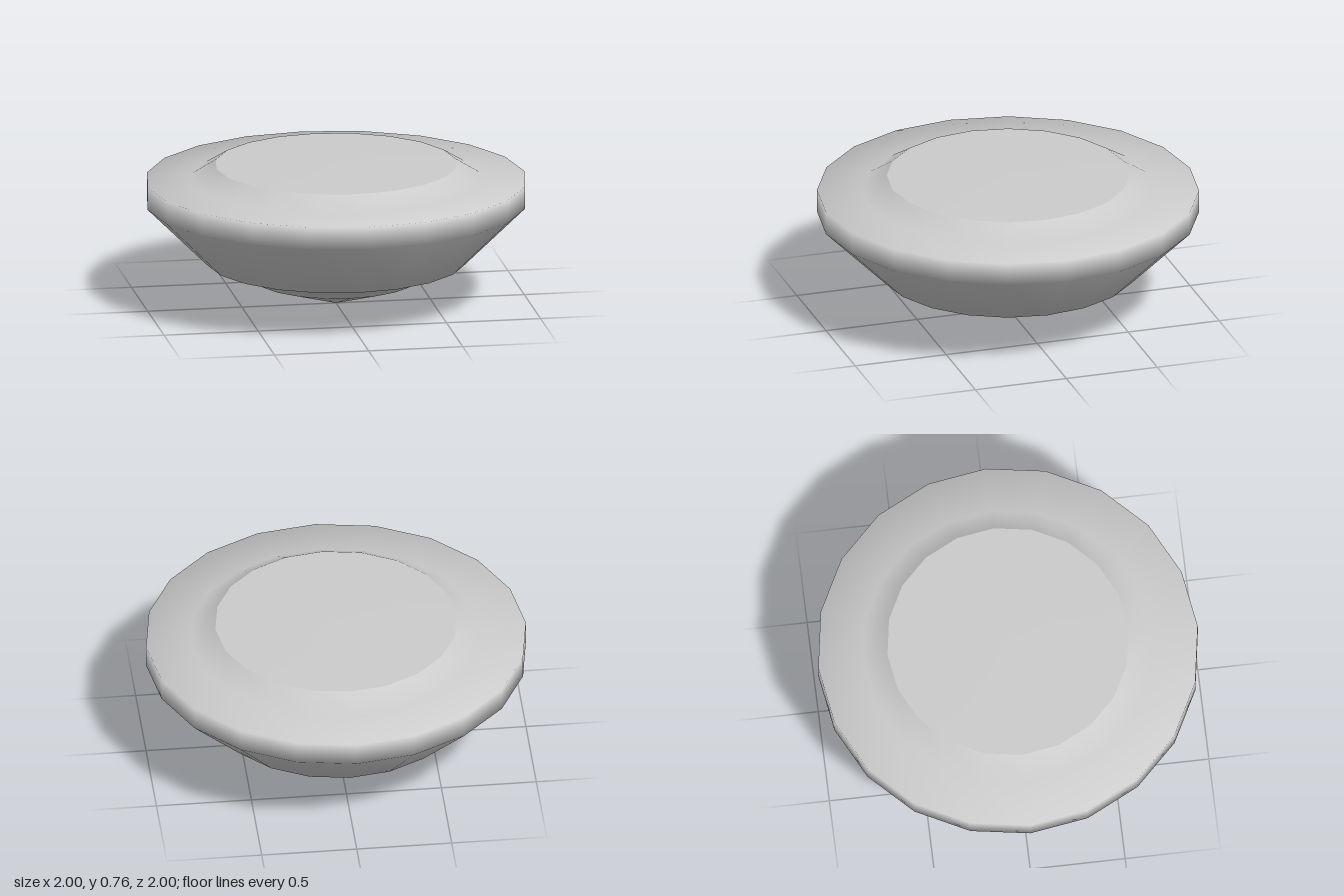
import * as THREE from 'three';

const SIDES = 20;

export function createModel() {
  const model = new THREE.Group();
  const material = new THREE.MeshStandardMaterial({ color: 0xcccccc });

  // Turns a bottom-to-top [radius, height] profile around the y axis
  function addTurned(name, profile) {
    const points = profile.map(([r, y]) => new THREE.Vector2(r, y));
    const mesh = new THREE.Mesh(new THREE.LatheGeometry(points, SIDES), material);
    mesh.name = name;
    model.add(mesh);
  }

  // Pointed underside, meeting the body at a sharp edge
  addTurned('bottomCone', [[0, 0.005], [0.43, 0.14]]);

  // Smooth-shaded bowl, rim and raised shoulder
  addTurned('body', [
    [0.43, 0.14], [0.54, 0.217], [0.68, 0.236],
    [1, 0.553], [1, 0.674], [0.76, 0.681], [0.635, 0.758],
  ]);

  // Nearly flat lid, very slightly raised at the middle
  addTurned('topCap', [[0.635, 0.758], [0, 0.767]]);

  return model;
}
